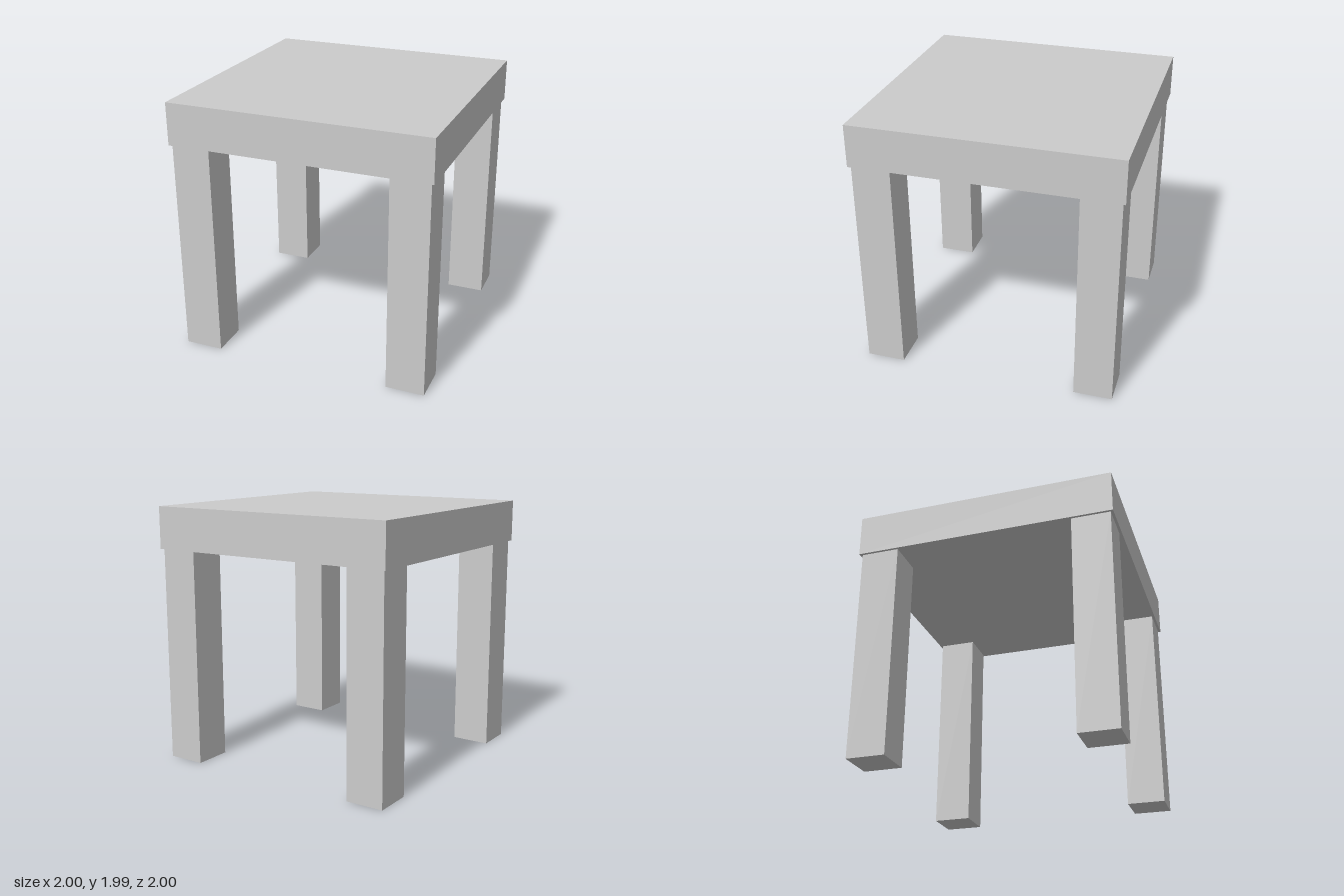
import * as THREE from 'three';

const TOP_Y = 1.99;      // height of the table
const UNDER_Y = 1.665;   // underside of the top
const LEG_IN = 0.685;    // inner and outer leg faces, from the centre
const LEG_OUT = 0.98;

export function createModel() {
  const table = new THREE.Group();
  table.name = 'table';
  const material = new THREE.MeshStandardMaterial({ color: 0xcccccc, flatShading: true });

  const addBox = (name, [w, h, d], [x, y, z]) => {
    const mesh = new THREE.Mesh(new THREE.BoxGeometry(w, h, d), material);
    mesh.name = name;
    mesh.position.set(x, y, z);
    table.add(mesh);
  };

  // Thick square slab
  addBox('tableTop', [2, TOP_Y - UNDER_Y, 2], [0, (TOP_Y + UNDER_Y) / 2, 0]);

  // Four square legs, set slightly in from the edge
  const width = LEG_OUT - LEG_IN;
  const centre = (LEG_OUT + LEG_IN) / 2;
  for (const [sx, side] of [[1, 'Left'], [-1, 'Right']]) {
    for (const [sz, end] of [[1, 'front'], [-1, 'back']]) {
      addBox(`${end}${side}Leg`, [width, UNDER_Y, width], [sx * centre, UNDER_Y / 2, sz * centre]);
    }
  }
  return table;
}
